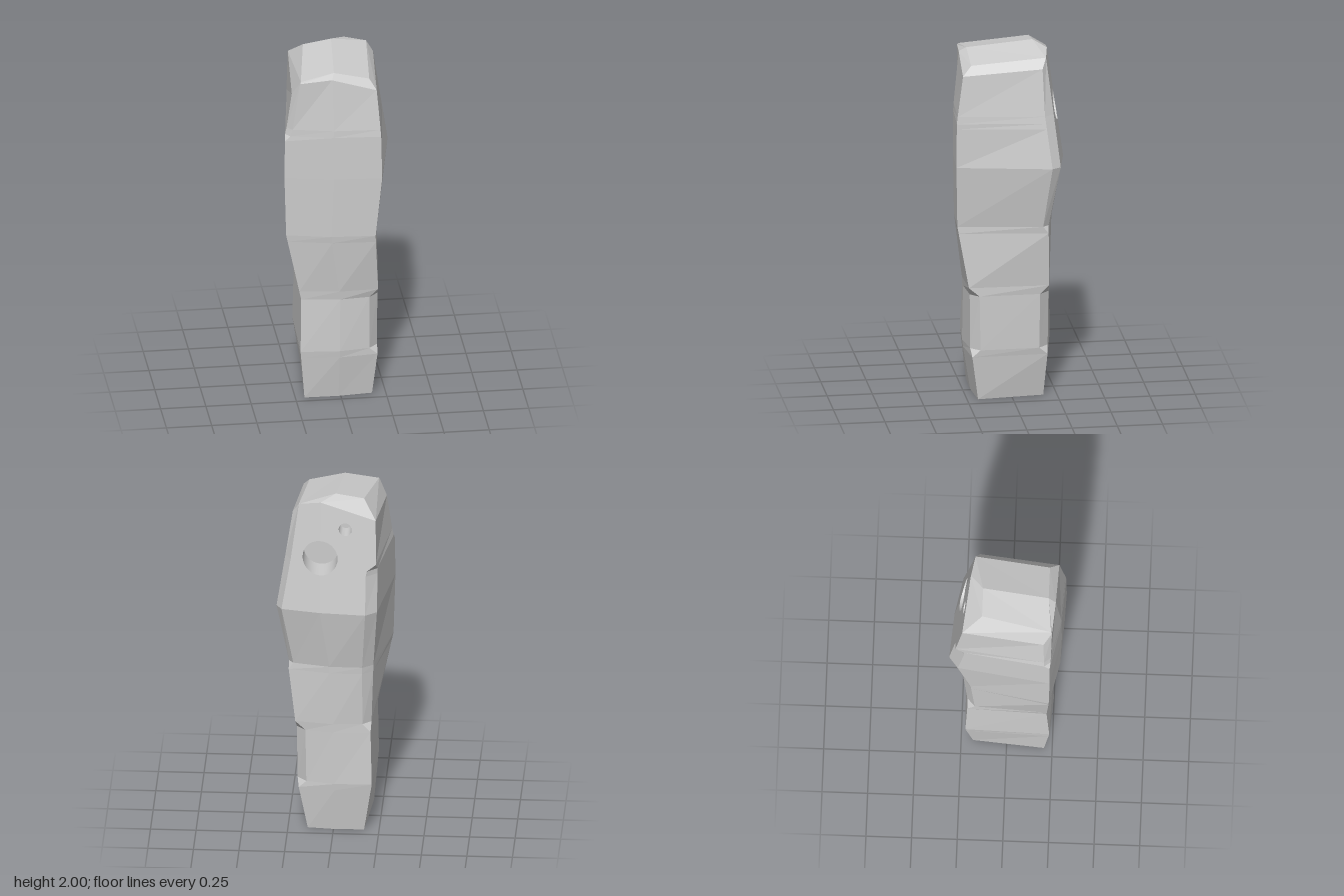
import * as THREE from 'three';
import { toCreasedNormals } from 'three/addons/utils/BufferGeometryUtils.js';

const V = (x, y, z) => new THREE.Vector3(x, y, z);

// The upper back is two planes meeting at an upright ridge
const RIDGE = 0.07, PANEL_Y = 1.35;
const backZ = (x, y) =>
  -0.295 + (y - PANEL_Y) * 0.144 + (x - RIDGE) * (x < RIDGE ? 0.08 : 0.2);

// Corner positions by height: y, then x,z of front-left, front-right, back-right, back-left (as seen from the front)
const KEYS = [
  [0, -0.2, 0.205, 0.175, 0.19, 0.142, -0.175, -0.168, -0.185],
  [0.29, -0.225, 0.235, 0.205, 0.23, 0.198, -0.195, -0.212, -0.225],
  [0.6, -0.22, 0.22, 0.205, 0.235, 0.203, -0.2, -0.205, -0.215],
  [1.0, -0.305, 0.235, 0.18, 0.305, 0.25, -0.19, -0.21, -0.245],
  [1.35, -0.315, 0.24, 0.215, 0.315, 0.318, -0.24, -0.235, -0.32],
  [1.6, -0.312, 0.24, 0.21, 0.312, 0.276, -0.21, -0.237, -0.28],
  [1.9, -0.245, 0.25, 0.19, 0.275, 0.225, -0.17, -0.24, -0.23],
];

// Ring height and the width of the chamfer at each corner
const RINGS = [
  [0, 0, 0, 0, 0], [0.25, 0, 0, 0, 0], [0.29, 0, 0.05, 0.05, 0],
  [0.6, 0, 0.05, 0.05, 0], [0.65, 0, 0, 0, 0.045], [0.96, 0, 0, 0, 0.05],
  [1.0, 0, 0, 0.03, 0.05], [1.35, 0, 0, 0.037, 0.055], [1.57, 0, 0, 0.037, 0.055],
  [1.6, 0.03, 0, 0.037, 0.05], [1.64, 0.033, 0, 0.037, 0],
];

function cornersAt(y) {
  let k = 0;
  while (k < KEYS.length - 2 && y > KEYS[k + 1][0]) k++;
  const a = KEYS[k], b = KEYS[k + 1], t = (y - a[0]) / (b[0] - a[0]);
  const v = a.map((n, i) => n + (b[i] - n) * t);
  return [1, 3, 5, 7].map((i) => V(v[i], y, v[i + 1]));
}

// Ten points: every corner doubled by its chamfer, plus a bulge at mid front and mid back
function makeRing([y, ...cut]) {
  const c = cornersAt(y);
  const toward = (i, j) =>
    c[i].clone().add(c[j].clone().sub(c[i]).setLength(cut[i]));
  const mid = (i, j, bulge) =>
    c[i].clone().lerp(c[j], 0.5).add(V(0, 0, bulge));
  const bulge = y === 0 ? 0.01 : 0.02;
  const ring = [
    toward(0, 3), toward(0, 1), mid(0, 1, bulge), toward(1, 0), toward(1, 2),
    toward(2, 1), toward(2, 3), mid(2, 3, -bulge), toward(3, 2), toward(3, 0),
  ];
  if (y >= PANEL_Y) {
    ring[7].x = RIDGE;
    for (const i of [6, 7, 8]) ring[i].z = backZ(ring[i].x, y);
    if (cut[3] === 0) ring[9].copy(ring[8]);
  }
  return ring;
}

// Bevelled top: shoulder ring below, roof ring above
function topRings() {
  const onBack = (x, y) => V(x, y, backZ(x, y));
  const fr = V(0.19, 1.865, 0.275), bl = onBack(-0.235, 1.89), br = onBack(0.19, 1.955);
  const shoulder = [
    V(-0.27, 1.84, 0.205), V(-0.23, 1.915, 0.25), V(-0.055, 1.935, 0.265), fr, fr,
    V(0.225, 1.9, -0.16), br, onBack(RIDGE, 1.975), bl, bl,
  ];
  const rfl = V(-0.225, 1.925, 0.245), rfr = V(0.155, 1.915, 0.225), rbl = V(-0.165, 1.975, -0.135);
  const roof = [
    rfl, rfl, V(-0.04, 1.96, 0.225), rfr, rfr,
    br, br, V(-0.01, 2, -0.135), rbl, rbl,
  ];
  return [shoulder, roof];
}

function soup(points) {
  const g = new THREE.BufferGeometry().setFromPoints(points);
  g.computeVertexNormals();
  return g;
}

function stoneGeometry(rings) {
  const pts = [];
  const tri = (a, b, c) => {
    const n = b.clone().sub(a).cross(c.clone().sub(a));
    if (n.length() > 1e-7) pts.push(a, b, c);
  };
  const quad = (a, b, c, d) => { tri(a, b, c); tri(a, c, d); };
  for (let r = 0; r < rings.length - 1; r++) {
    const lo = rings[r], hi = rings[r + 1];
    const pierced = lo[7].y >= PANEL_Y && r < rings.length - 2;
    for (let i = 0; i < 10; i++) {
      if (pierced && (i === 6 || i === 7)) continue; // left for the pierced panel
      const j = (i + 1) % 10;
      quad(lo[i], lo[j], hi[j], hi[i]);
    }
  }
  const base = rings[0], roof = rings[rings.length - 1];
  for (let i = 1; i < 9; i++) tri(base[0], base[i + 1], base[i]);
  quad(roof[0], roof[2], roof[7], roof[8]);
  quad(roof[2], roof[3], roof[6], roof[7]);
  return soup(pts);
}

// Points of a circle on the back, from angle a0 to a1
function arc(h, a0, a1, n) {
  return Array.from({ length: n + 1 }, (_, i) => {
    const a = a0 + ((a1 - a0) * i) / n;
    return new THREE.Vector2(h.x + h.r * Math.cos(a), h.y + h.r * Math.sin(a));
  });
}

// Half of the upper back, with half of the large hole cut from its ridge side
function panelGeometry(side, rings, big, small) {
  const edge = rings.map((r) => r[side < 0 ? 8 : 6]);
  const top = rings[rings.length - 1][7];
  const flat = (p) => new THREE.Vector2(p.x, p.y);
  const outline = [
    ...edge.map(flat), flat(top),
    ...arc(big, Math.PI / 2, Math.PI / 2 - side * Math.PI, 14), flat(rings[0][7]),
  ];
  const shape = new THREE.Shape(outline);
  if (side < 0) shape.holes.push(new THREE.Path(arc(small, 0, Math.PI * 2, 20)));
  const g = new THREE.ShapeGeometry(shape);
  const p = g.attributes.position, idx = g.index.array, pts = [];
  const at = (i) => V(p.getX(i), p.getY(i), backZ(p.getX(i), p.getY(i)));
  for (let i = 0; i < idx.length; i += 3) pts.push(at(idx[i]), at(idx[i + 2]), at(idx[i + 1]));
  return soup(pts);
}

// Wall and floor of a round hole
function boreGeometry(h) {
  const rim = arc(h, 0, Math.PI * 2, 28), pts = [];
  const floorZ = backZ(h.x, h.y) + h.depth;
  for (let i = 0; i < 28; i++) {
    const [a, b] = [rim[i], rim[i + 1]];
    const a0 = V(a.x, a.y, backZ(a.x, a.y)), b0 = V(b.x, b.y, backZ(b.x, b.y));
    const a1 = V(a.x, a.y, floorZ), b1 = V(b.x, b.y, floorZ);
    pts.push(a0, b0, b1, a0, b1, a1, a1, b1, V(h.x, h.y, floorZ));
  }
  return toCreasedNormals(soup(pts), 0.6);
}

export function createModel() {
  const group = new THREE.Group();
  group.name = 'standingStone';
  const stone = new THREE.MeshStandardMaterial({ color: 0xcccccc, flatShading: true });
  const smooth = new THREE.MeshStandardMaterial({ color: 0xcccccc, side: THREE.DoubleSide });
  const add = (name, geometry, material) => {
    const mesh = new THREE.Mesh(geometry, material);
    mesh.name = name;
    group.add(mesh);
  };

  const rings = [...RINGS.map(makeRing), ...topRings()];
  const panelRings = rings.slice(0, -1).filter((r) => r[7].y >= PANEL_Y);
  const big = { x: RIDGE, y: 1.66, r: 0.097, depth: 0.14 };
  const small = { x: -0.067, y: 1.83, r: 0.036, depth: 0.1 };

  add('stoneBody', stoneGeometry(rings), stone);
  add('backPanelRight', panelGeometry(-1, panelRings, big, small), stone);
  add('backPanelLeft', panelGeometry(1, panelRings, big, small), stone);
  add('largeHole', boreGeometry(big), smooth);
  add('smallHole', boreGeometry(small), smooth);
  return group;
}
